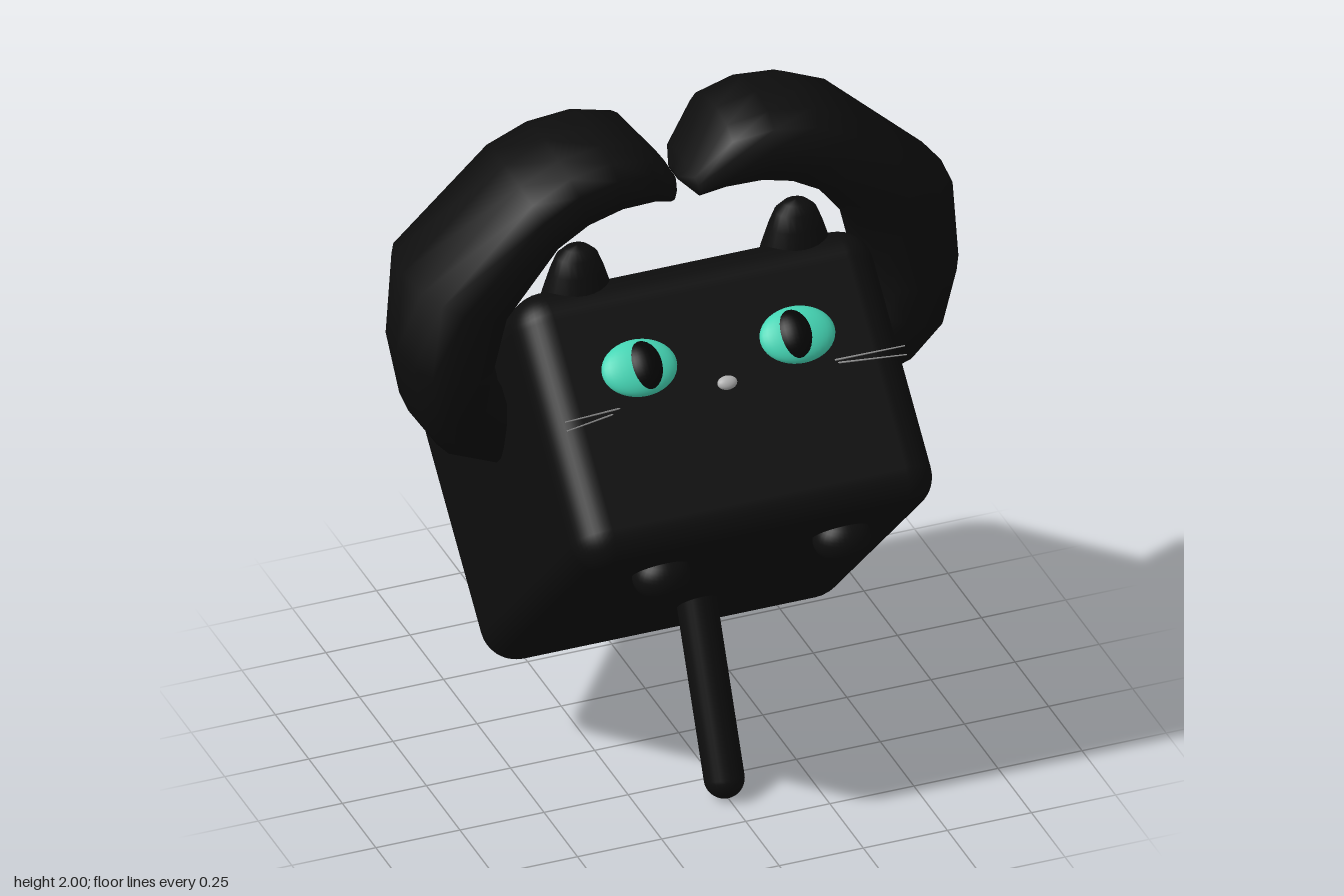
import * as THREE from 'three';
import { mergeVertices } from 'three/addons/utils/BufferGeometryUtils.js';
import { RoundedBoxGeometry } from 'three/addons/geometries/RoundedBoxGeometry.js';

const mat = (name, color, side = THREE.FrontSide) => {
  const m = new THREE.MeshStandardMaterial({ color, side });
  m.name = name;
  return m;
};

export function createModel() {
  const fur = mat('black fur', 0x0d0d0d);
  const armFur = fur;
  const iris = mat('teal iris', 0x45d6b5);
  const pupilBlack = mat('pupil black', 0x050505);
  const noseGrey = mat('nose grey', 0xb0b0b0);
  const whiskerGrey = mat('whisker grey', 0x8c8c8c);

  const model = new THREE.Group();
  model.name = 'cubeCat';

  const add = (parent, name, geometry, material, x = 0, y = 0, z = 0) => {
    const mesh = new THREE.Mesh(geometry, material);
    mesh.name = name;
    mesh.position.set(x, y, z);
    parent.add(mesh);
    return mesh;
  };
  const ellipsoid = (parent, name, material, pos, radii) => {
    const m = add(parent, name, new THREE.SphereGeometry(1, 32, 20), material, ...pos);
    m.scale.set(...radii);
    return m;
  };
  // Cylinder or capsule laid between two points
  const between = (name, geometry, material, a, b) => {
    const m = add(model, name, geometry, material);
    m.position.copy(a).add(b).multiplyScalar(0.5);
    m.quaternion.setFromUnitVectors(new THREE.Vector3(0, 1, 0), b.clone().sub(a).normalize());
    return m;
  };

  // Tilted cube body carrying the face
  const body = new THREE.Group();
  body.name = 'body';
  body.position.set(-0.005, 0.935, 0);
  body.rotation.x = -Math.PI / 4;
  model.add(body);
  add(body, 'bodyBlock', new RoundedBoxGeometry(1.07, 0.81, 1.12, 5, 0.1), fur);
  ellipsoid(body, 'nose', noseGrey, [0, 0.032, 0.562], [0.029, 0.02, 0.016]);

  // Arm: [outer x, outer y, inner x, inner y, half depth] from hand to shoulder
  const armSections = [
    [0.003, 1.8, 0.006, 1.785, 0.04],
    [0.025, 1.84, 0.045, 1.75, 0.12],
    [0.13, 1.975, 0.1, 1.77, 0.17],
    [0.25, 2.0, 0.2, 1.775, 0.19],
    [0.38, 1.985, 0.3, 1.75, 0.2],
    [0.5, 1.93, 0.39, 1.7, 0.21],
    [0.8, 1.65, 0.52, 1.53, 0.222],
    [0.82, 1.4, 0.56, 1.36, 0.205],
    [0.785, 1.2, 0.54, 1.28, 0.175],
    [0.7, 1.07, 0.48, 1.24, 0.135],
    [0.53, 0.985, 0.42, 1.18, 0.085],
  ];
  const armGeometry = (side) => {
    const n = 14, pos = [], idx = [];
    const soft = (v) => Math.sign(v) * Math.abs(v) ** 0.8;
    for (const [ox, oy, ix, iy, d] of armSections) {
      for (let j = 0; j < n; j++) {
        const a = (j / n) * Math.PI * 2;
        const t = (1 + soft(Math.cos(a))) / 2;
        pos.push(side * (ix + (ox - ix) * t), iy + (oy - iy) * t, -0.05 + d * soft(Math.sin(a)));
      }
    }
    const tri = (a, b, c) => (side > 0 ? idx.push(a, b, c) : idx.push(a, c, b));
    const last = armSections.length - 1;
    for (let i = 0; i < last; i++) {
      for (let j = 0; j < n; j++) {
        const k = (j + 1) % n, p = i * n, q = p + n;
        tri(p + j, p + k, q + j);
        tri(p + k, q + k, q + j);
      }
    }
    for (let j = 1; j < n - 1; j++) {
      tri(0, j + 1, j);
      tri(last * n, last * n + j, last * n + j + 1);
    }
    let g = new THREE.BufferGeometry();
    g.setAttribute('position', new THREE.Float32BufferAttribute(pos, 3));
    g.setIndex(idx);
    g = mergeVertices(g, 1e-5);
    g.computeVertexNormals();
    return g;
  };

  // Rounded ear profile
  const earProfile = [[0.125, 0], [0.1, 0.1], [0.078, 0.17], [0.06, 0.215], [0.035, 0.238], [0, 0.245]]
    .map(([x, y]) => new THREE.Vector2(x, y));

  for (const side of [1, -1]) {
    const label = side > 0 ? 'left' : 'right';
    add(model, label + 'Arm', armGeometry(side), armFur);

    const ear = add(model, label + 'Ear', new THREE.LatheGeometry(earProfile, 24), fur,
      side * 0.325 - 0.002, 1.45, 0.06);
    ear.scale.z = 0.8;

    ellipsoid(body, label + 'Eye', iris, [side * 0.235, 0.124, 0.558], [0.111, 0.082, 0.042]);
    ellipsoid(body, label + 'Pupil', pupilBlack, [side * 0.224, 0.124, 0.558], [0.062, 0.076, 0.054]);
    ellipsoid(model, label + 'Paw', fur, [side * 0.268 - 0.005, 0.895, 0.555], [0.083, 0.07, 0.07]);

    // Whiskers
    const lift = side > 0 ? 0.017 : 0;
    for (const [y0, y1, z1] of [[1.345, 1.367, 0.42], [1.335, 1.347, 0.435]]) {
      const a = new THREE.Vector3(side * 0.315, y0 + lift * 0.6, 0.375);
      const b = new THREE.Vector3(side * 0.505, y1 + lift, z1);
      between(label + 'Whisker', new THREE.CylinderGeometry(0.002, 0.003, a.distanceTo(b), 6),
        whiskerGrey, a, b);
    }
  }

  // Tail
  const tip = new THREE.Vector3(-0.005, 0.057, 0.352);
  const root = new THREE.Vector3(-0.005, 0.64, 0.09);
  between('tail', new THREE.CapsuleGeometry(0.057, tip.distanceTo(root), 10, 24), fur, tip, root);

  return model;
}
